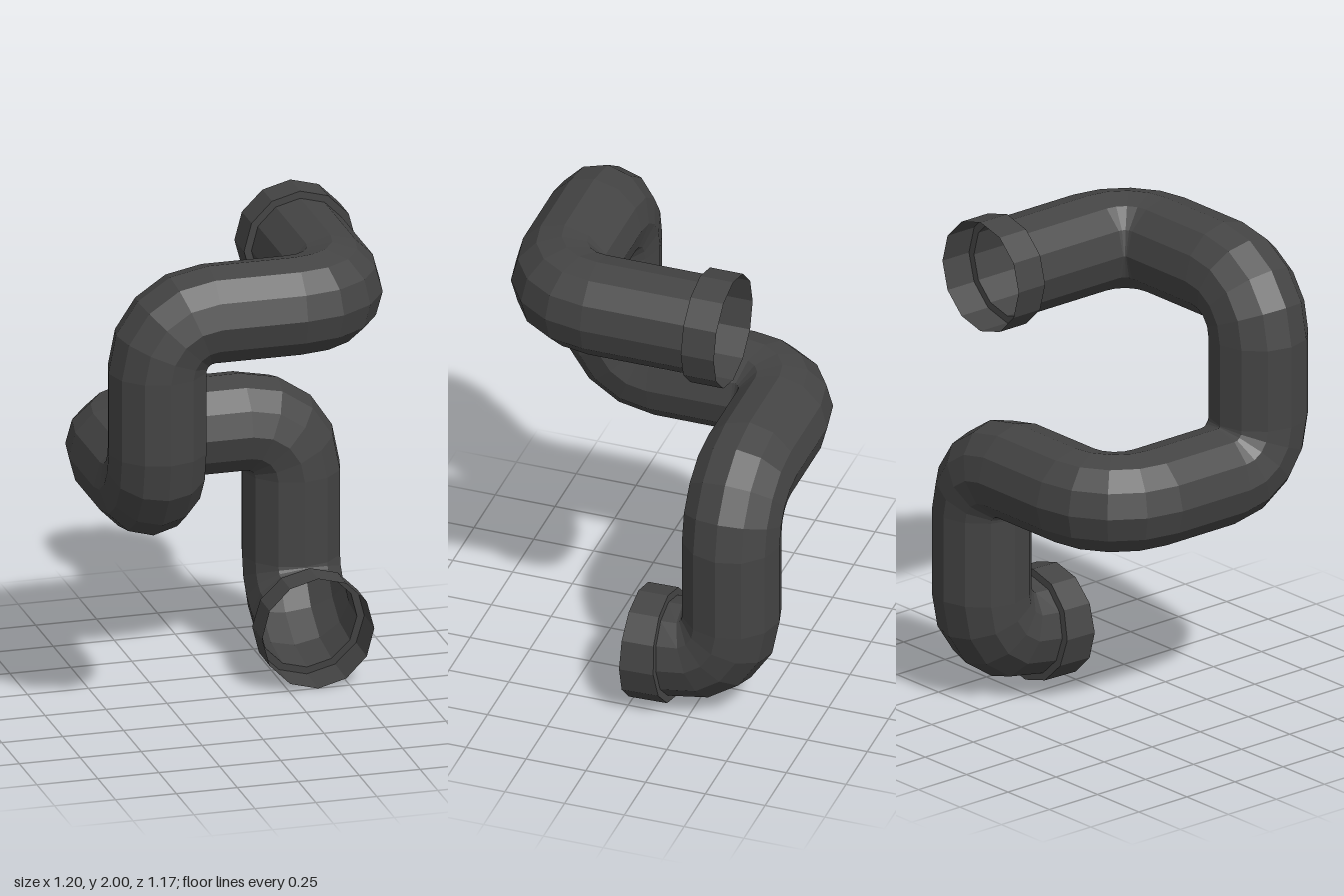
import * as THREE from 'three';

const SIDES = 12, PIPE_R = 0.2, COLLAR_R = 0.23, BEND_R = 0.21, BEND_STEPS = 4;
const V = (x, y, z) => new THREE.Vector3(x, y, z);

const material = new THREE.MeshStandardMaterial({
  color: 0x444444, flatShading: true, side: THREE.DoubleSide,
});

// Open tube through a list of rings { p: centre, t: direction, r: radius }
function sweep(name, rings) {
  const pos = [], index = [];
  const n = V(0, 1, 0);
  let last = V(0, 0, 1);
  rings.forEach(({ p, t, r }, i) => {
    n.applyQuaternion(new THREE.Quaternion().setFromUnitVectors(last, t));
    last = t;
    const b = t.clone().cross(n);
    for (let j = 0; j < SIDES; j++) {
      const a = (j / SIDES) * Math.PI * 2;
      const v = p.clone().addScaledVector(n, r * Math.cos(a)).addScaledVector(b, r * Math.sin(a));
      pos.push(v.x, v.y, v.z);
      if (i === 0) continue;
      const k = (j + 1) % SIDES, lo = (i - 1) * SIDES, hi = i * SIDES;
      index.push(lo + j, lo + k, hi + k, lo + j, hi + k, hi + j);
    }
  });
  const geo = new THREE.BufferGeometry();
  geo.setAttribute('position', new THREE.Float32BufferAttribute(pos, 3));
  geo.setIndex(index);
  geo.computeVertexNormals();
  const mesh = new THREE.Mesh(geo, material);
  mesh.name = name;
  return mesh;
}

// Rings of a quarter-circle elbow at each corner of the route
function elbowRings(route) {
  const rings = [];
  for (let i = 1; i < route.length - 1; i++) {
    const tIn = route[i].clone().sub(route[i - 1]).normalize();
    const tOut = route[i + 1].clone().sub(route[i]).normalize();
    const centre = route[i].clone().addScaledVector(tIn, -BEND_R).addScaledVector(tOut, BEND_R);
    for (let s = 0; s <= BEND_STEPS; s++) {
      const a = (s / BEND_STEPS) * Math.PI / 2, c = Math.cos(a), d = Math.sin(a);
      rings.push({
        p: centre.clone().addScaledVector(tOut, -BEND_R * c).addScaledVector(tIn, BEND_R * d),
        t: tIn.clone().multiplyScalar(c).addScaledVector(tOut, d).normalize(),
        r: PIPE_R,
      });
    }
  }
  return rings;
}

export function createModel() {
  const group = new THREE.Group();
  group.name = 'bentPipe';

  const forward = V(0, 0, 1);
  const topSeat = V(0.37, 1.77, -0.255);
  const lowSeat = V(0.37, 0.235, -0.14);
  const lowTilt = V(0, -0.087, 1).normalize(); // the last ring leans slightly

  // Pipe route from the top opening to the bottom one
  const route = [
    topSeat,
    V(0.37, 1.77, 0.387),
    V(-0.402, 1.77, 0.387),
    V(-0.402, 1.01, 0.387),
    V(-0.402, 1.01, -0.387),
    V(0.37, 1.01, -0.387),
    V(0.37, 0.235, -0.387),
    lowSeat,
  ];
  const bends = elbowRings(route);
  bends.pop(); // the final elbow runs straight into the lower collar
  group.add(sweep('pipe', [
    { p: topSeat, t: forward, r: PIPE_R },
    ...bends,
    { p: lowSeat, t: lowTilt, r: PIPE_R },
  ]));

  // Wider open collars with a stepped shoulder at each end
  group.add(sweep('topCollar', [
    { p: V(0.37, 1.77, -0.393), t: forward, r: COLLAR_R },
    { p: topSeat, t: forward, r: COLLAR_R },
    { p: topSeat, t: forward, r: PIPE_R },
  ]));
  group.add(sweep('bottomCollar', [
    { p: lowSeat, t: lowTilt, r: PIPE_R },
    { p: lowSeat, t: lowTilt, r: COLLAR_R },
    { p: V(0.37, 0.232, 0.003), t: forward, r: COLLAR_R },
  ]));
  return group;
}
